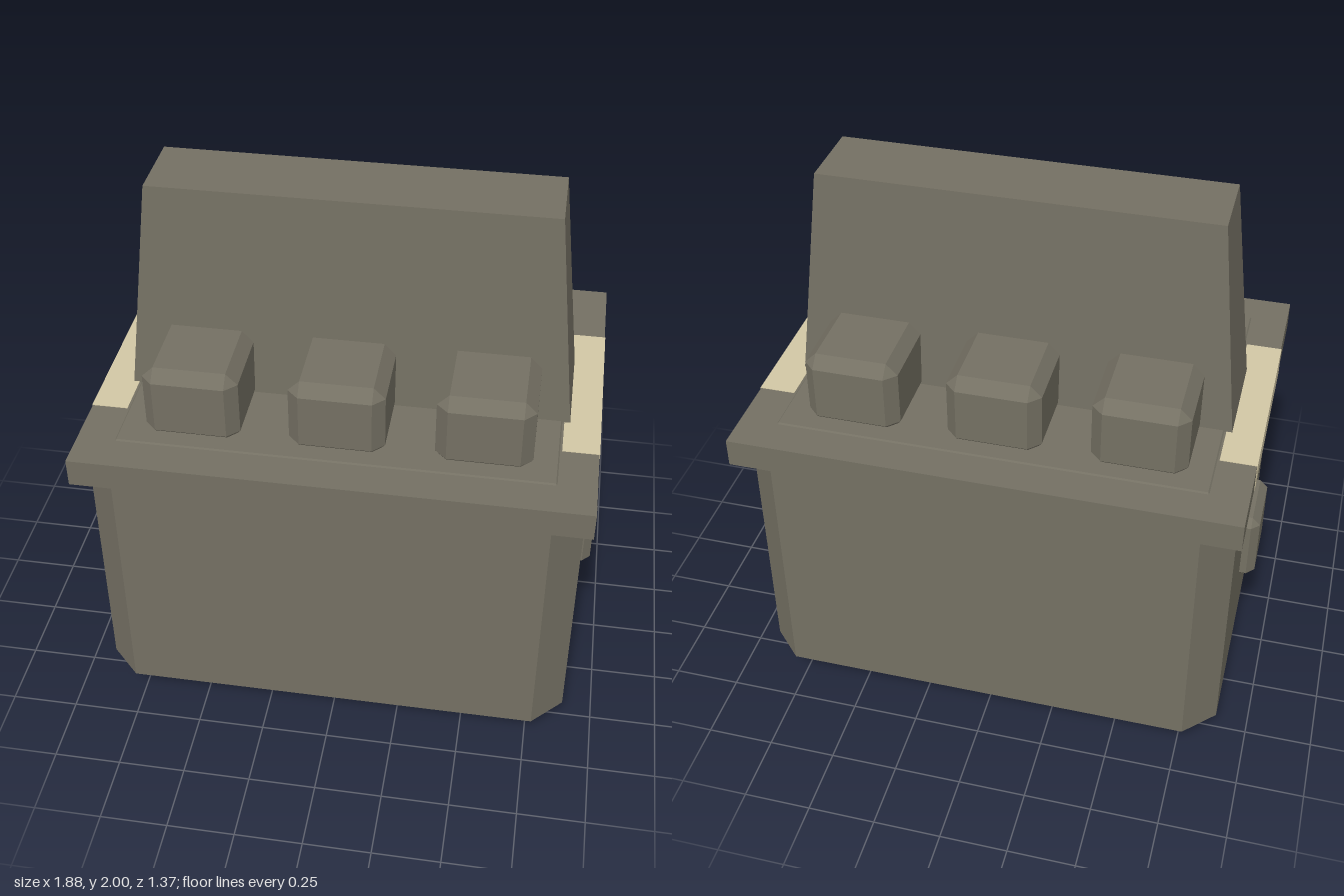
import * as THREE from 'three';
import { ConvexGeometry } from 'three/addons/geometries/ConvexGeometry.js';

// Box with every edge cut at 45 degrees; w, h, d are full sizes
function chamferedBox(w, h, d, c) {
  const points = [];
  for (const sx of [-1, 1]) for (const sy of [-1, 1]) for (const sz of [-1, 1]) {
    const x = w / 2, y = h / 2, z = d / 2;
    points.push(
      new THREE.Vector3(sx * x, sy * (y - c), sz * (z - c)),
      new THREE.Vector3(sx * (x - c), sy * y, sz * (z - c)),
      new THREE.Vector3(sx * (x - c), sy * (y - c), sz * z));
  }
  return new ConvexGeometry(points);
}

// Box whose top is narrower than its base
function taperedBox(w, h, d, topW, topD) {
  const geometry = new THREE.BoxGeometry(w, h, d);
  const p = geometry.attributes.position;
  for (let i = 0; i < p.count; i++) {
    if (p.getY(i) > 0) {
      p.setX(i, Math.sign(p.getX(i)) * topW / 2);
      p.setZ(i, Math.sign(p.getZ(i)) * topD / 2);
    }
  }
  geometry.computeVertexNormals();
  return geometry;
}

export function createModel() {
  const model = new THREE.Group();
  const grey = new THREE.MeshStandardMaterial({ name: 'warm grey', color: 0x747063, flatShading: true });
  const cream = new THREE.MeshStandardMaterial({ name: 'cream', color: 0xd2c7a5, flatShading: true });

  function add(name, geometry, material, x, y, z) {
    const mesh = new THREE.Mesh(geometry, material);
    mesh.name = name;
    mesh.position.set(x, y, z);
    model.add(mesh);
  }

  // Body, its top just showing above the rim
  add('body', chamferedBox(1.77, 1.205, 1.31, 0.113), grey, 0, 0.6025, 0);

  // Rim and tall tapered fin
  add('rim', new THREE.BoxGeometry(1.828, 0.105, 1.366), grey, 0, 1.1475, 0);
  add('fin', taperedBox(1.61, 0.8, 0.392, 1.43, 0.286), grey, 0, 1.6, 0);

  // Rounded bars running through the fin, seen as studs on both sides
  for (const x of [-0.517, 0, 0.517]) {
    add('stud', chamferedBox(0.342, 0.285, 0.97, 0.042), grey, x, 1.3175, 0);
  }

  // Side buttons and cream bands on the rim ends
  for (const side of [-1, 1]) {
    add('sideButton', chamferedBox(0.14, 0.287, 0.287, 0.03), grey, side * 0.87, 0.605, 0);
    add('rimBand', new THREE.BoxGeometry(0.132, 0.109, 0.72), cream, side * 0.85, 1.1475, 0);
  }
  return model;
}
